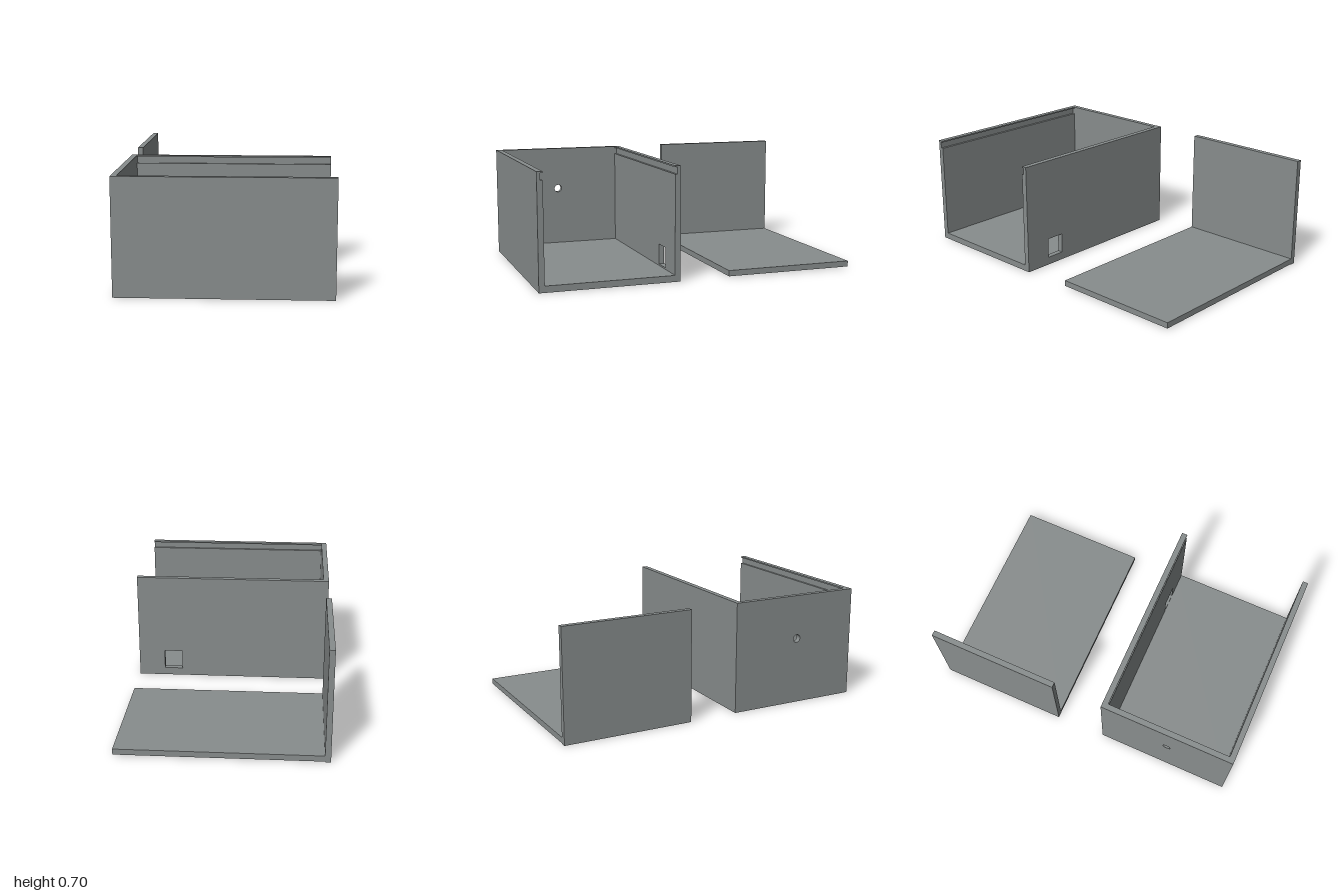
import * as THREE from 'three';

const material = new THREE.MeshStandardMaterial({ color: 0x888d8d, flatShading: true });

// Box tray extents, and the lid groove near its top
const X0 = -0.627, X1 = 0.637, Z0 = 0.14, Z1 = 1, TOP = 0.697;
const WALL = 0.035, FLOOR = 0.04;
const GROOVE_LOW = 0.647, GROOVE_HIGH = 0.688, GROOVE_DEPTH = 0.015;

function addMesh(group, name, geometry) {
  const mesh = new THREE.Mesh(geometry, material);
  mesh.name = name;
  group.add(mesh);
}

// Block given by its lowest and highest corners
function addBlock(group, name, [x0, y0, z0], [x1, y1, z1]) {
  const geometry = new THREE.BoxGeometry(x1 - x0, y1 - y0, z1 - z0);
  geometry.translate((x0 + x1) / 2, (y0 + y1) / 2, (z0 + z1) / 2);
  addMesh(group, name, geometry);
}

function rectangle(Type, x0, y0, x1, y1) {
  return new Type([[x0, y0], [x1, y0], [x1, y1], [x0, y1]].map(([x, y]) => new THREE.Vector2(x, y)));
}

function extrude(shape, depth) {
  return new THREE.ExtrudeGeometry(shape, { depth, bevelEnabled: false, curveSegments: 24 });
}

function createTray() {
  const tray = new THREE.Group();
  tray.name = 'tray';
  const inner = X0 + WALL;

  addBlock(tray, 'trayFloor', [inner, 0, Z0], [X1, FLOOR, Z1]);
  addBlock(tray, 'frontWall', [inner, FLOOR, Z1 - WALL], [X1, GROOVE_LOW, Z1]);

  // Back wall with a square port
  const back = rectangle(THREE.Shape, inner, FLOOR, X1, GROOVE_LOW);
  back.holes.push(rectangle(THREE.Path, 0.345, 0.05, 0.465, 0.176));
  addMesh(tray, 'backWall', extrude(back, WALL).translate(0, 0, Z0));

  // Closed end wall with a round cable hole (shape drawn in -z, y)
  const end = rectangle(THREE.Shape, -Z1, 0, -Z0, TOP);
  const hole = new THREE.Path();
  hole.absarc(-0.585, 0.42, 0.025, 0, Math.PI * 2, true);
  end.holes.push(hole);
  addMesh(tray, 'endWall', extrude(end, WALL).rotateY(Math.PI / 2).translate(X0, 0, 0));

  // Sliding grooves: thin outer web capped by a full-width lip
  for (const [name, outer, dir] of [['front', Z1, -1], ['back', Z0, 1]]) {
    const strip = (part, y0, y1, depth) => {
      const z = outer + dir * depth;
      addBlock(tray, name + part, [inner, y0, Math.min(outer, z)], [X1, y1, Math.max(outer, z)]);
    };
    strip('GrooveWeb', GROOVE_LOW, GROOVE_HIGH, WALL - GROOVE_DEPTH);
    strip('GrooveLip', GROOVE_HIGH, TOP, WALL);
  }
  return tray;
}

// Sliding lid lying upside down: a plate joined to an upright end panel
function createLid() {
  const lid = new THREE.Group();
  lid.name = 'slidingLid';
  addBlock(lid, 'lidEndPanel', [-0.637, 0, -1], [-0.602, 0.698, -0.178]);
  addBlock(lid, 'lidPlate', [-0.602, 0.004, -1], [0.627, 0.04, -0.178]);
  return lid;
}

export function createModel() {
  const model = new THREE.Group();
  model.name = 'slidingLidEnclosure';
  model.add(createTray(), createLid());
  return model;
}
